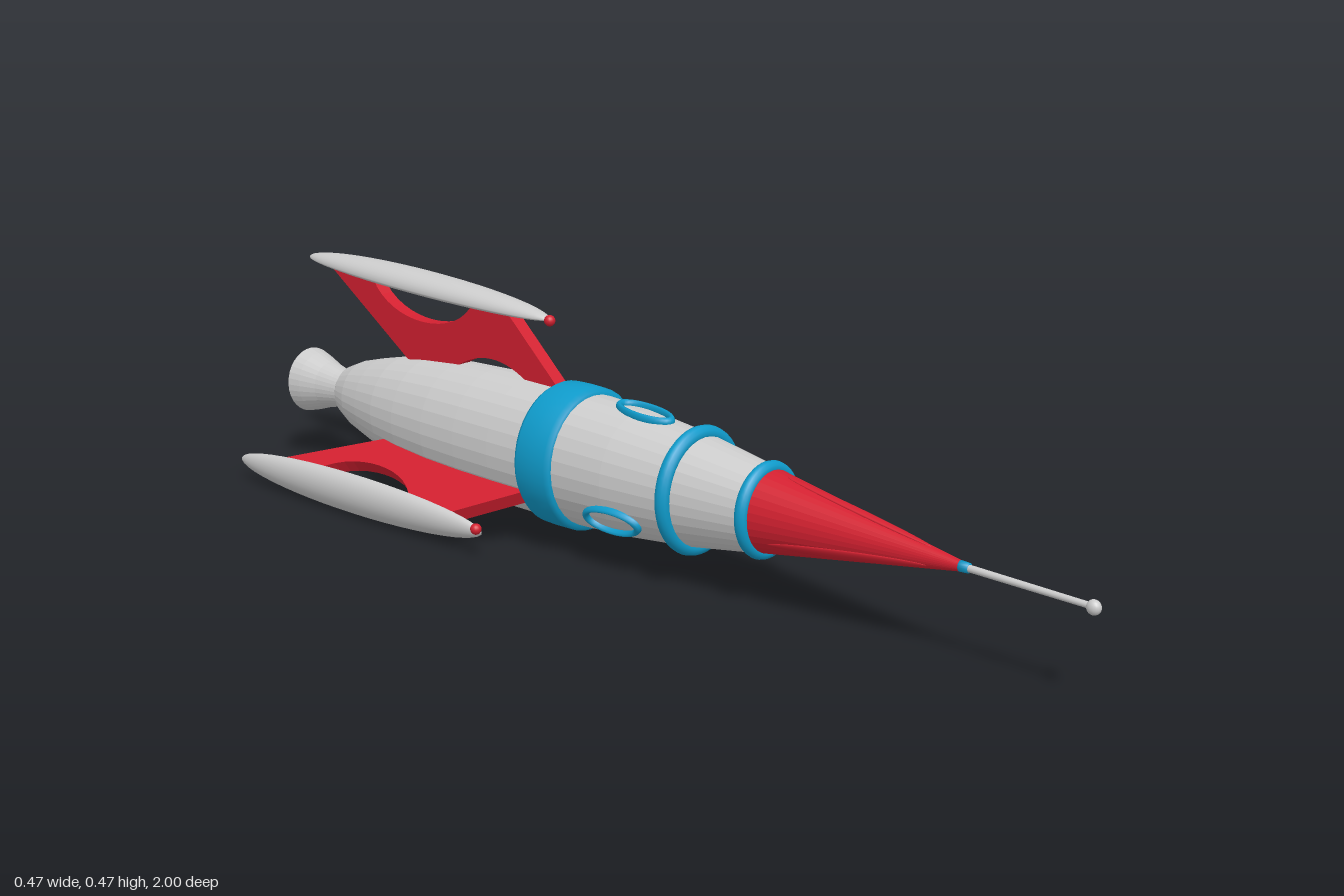
import * as THREE from 'three';

const RED = 0xd32030, BLUE = 0x0f9bcb, GREY = 0xcccccc;
const FLAT_X = 0.905; // the hull is slightly narrower than tall
const rad = THREE.MathUtils.degToRad;

export function createModel() {
  const model = new THREE.Group();
  model.name = 'rocket';
  const rocket = new THREE.Group();
  rocket.name = 'rocketBody';
  rocket.position.set(-0.013, 0.182, 0);
  model.add(rocket);

  const add = (name, geometry, color, parent = rocket, flatShading = false) => {
    const mesh = new THREE.Mesh(geometry, new THREE.MeshStandardMaterial({ color, flatShading }));
    mesh.name = name;
    parent.add(mesh);
    return mesh;
  };

  // Revolve [radius, z] points, listed from back to front, about the long axis
  const revolve = (points, segments = 32) =>
    new THREE.LatheGeometry(points.map(([r, z]) => new THREE.Vector2(r, z)), segments)
      .rotateX(Math.PI / 2).scale(FLAT_X, 1, 1);

  // Hull
  add('hull', revolve([[0, -0.885], [0.035, -0.878], [0.055, -0.855], [0.074, -0.81], [0.09, -0.75],
    [0.106, -0.68], [0.118, -0.6], [0.127, -0.5], [0.131, -0.4], [0.132, -0.3], [0.131, -0.17],
    [0.122, 0], [0.106, 0.15], [0.08, 0.31], [0, 0.31]]), GREY, rocket, true);

  // Exhaust nozzle with a closed rear
  add('nozzle', revolve([[0, -0.998], [0.07, -0.998], [0.063, -0.97], [0.05, -0.93], [0.041, -0.89],
    [0.034, -0.85]]), GREY, rocket, true);

  // Nose cone, collar and antenna
  add('noseCone', revolve([[0, 0.305], [0.08, 0.305], [0.008, 0.74], [0, 0.74]]), RED, rocket, true);
  add('antennaCollar', revolve([[0, 0.73], [0.01, 0.73], [0.009, 0.748], [0, 0.748]], 16), BLUE);
  const rod = add('antennaRod', new THREE.CylinderGeometry(0.0055, 0.0065, 0.25, 12).rotateX(Math.PI / 2), GREY);
  rod.position.set(0, -0.002, 0.86);
  rod.rotation.x = 0.016;
  const tip = add('antennaTip', new THREE.SphereGeometry(0.013, 16, 12).scale(0.85, 1, 1), GREY);
  tip.position.set(0, -0.005, 0.985);

  // Blue hoops around the hull
  for (const [name, radius, tube, z] of [['noseRing', 0.078, 0.013, 0.312], ['frontRing', 0.108, 0.015, 0.148]]) {
    add(name, new THREE.TorusGeometry(radius, tube, 12, 48).scale(FLAT_X, 1, 1), BLUE).position.z = z;
  }
  add('mainBand', revolve([[0.128, -0.214], [0.136, -0.214], [0.141, -0.205], [0.142, -0.17],
    [0.141, -0.132], [0.135, -0.122], [0.124, -0.122]], 40), BLUE);

  // Portholes and nose ribs, three of each around the axis
  for (const angle of [90, -20, 215]) {
    const mount = new THREE.Group();
    mount.name = 'portholeMount';
    mount.scale.x = FLAT_X;
    rocket.add(mount);
    const turn = new THREE.Group();
    turn.rotation.z = rad(angle);
    turn.name = 'hullSector';
    mount.add(turn);
    const ring = add('portholeRing', new THREE.TorusGeometry(1, 0.13, 10, 36), BLUE, turn);
    ring.geometry.scale(0.062, 0.031, 0.07).rotateY(Math.PI / 2 - 0.08);
    ring.position.set(0.12, 0, 0.012);
    const rib = add('noseRib', new THREE.SphereGeometry(1, 12, 16), RED, turn);
    rib.geometry.rotateX(Math.PI / 2).scale(0.004, 0.011, 0.16).rotateY(-0.164);
    rib.position.set(0.045, 0, 0.515);
  }

  // Fin plate: x is the distance from the axis, y runs along the rocket
  const finGeometry = (reach, arched) => {
    const s = new THREE.Shape();
    s.moveTo(0.09, -0.16);
    s.lineTo(reach, -0.35);
    s.lineTo(reach, -0.44);
    s.bezierCurveTo(reach - 0.09, -0.49, reach - 0.09, -0.7, reach, -0.75);
    s.lineTo(reach, -0.88);
    s.lineTo(0.09, -0.62);
    if (arched) {
      s.lineTo(0.12, -0.5);
      s.quadraticCurveTo(0.19, -0.39, 0.12, -0.28);
    }
    s.closePath();
    return new THREE.ExtrudeGeometry(s, { depth: 0.028, bevelEnabled: false, curveSegments: 16 })
      .translate(0, 0, -0.014).rotateX(Math.PI / 2);
  };

  // Pod: a long ellipsoid, domed outside and shallow inside
  const podGeometry = () => {
    const g = new THREE.SphereGeometry(1, 32, 24).rotateX(Math.PI / 2);
    const p = g.attributes.position;
    for (let i = 0; i < p.count; i++) {
      const x = p.getX(i);
      p.setXYZ(i, x * (x > 0 ? 0.032 : 0.014), p.getY(i) * 0.045, p.getZ(i) * 0.37);
    }
    g.rotateY(-0.027);
    g.computeVertexNormals();
    return g;
  };

  // Three fins with pods and red front beads; positions relative to the axis
  const fins = [
    { name: 'top', pod: [0.003, 0.264], facing: 90, plate: 91, bead: [0.003, 0.253], arched: true },
    { name: 'left', pod: [0.214, -0.098], facing: -15, plate: -24, bead: [0.216, -0.11] },
    { name: 'right', pod: [-0.192, -0.132], facing: 193, plate: 213, bead: [-0.197, -0.119] },
  ];
  for (const { name, pod, facing, plate, bead, arched } of fins) {
    const fin = new THREE.Group();
    fin.name = name + 'FinAssembly';
    rocket.add(fin);
    add(name + 'Fin', finGeometry(Math.hypot(...pod), arched), RED, fin).rotation.z = rad(plate);
    const shell = add(name + 'Pod', podGeometry(), GREY, fin);
    shell.position.set(pod[0], pod[1], -0.615);
    shell.rotation.z = rad(facing);
    add(name + 'Bead', new THREE.SphereGeometry(0.011, 16, 12), RED, fin).position.set(bead[0], bead[1], -0.245);
  }
  return model;
}
